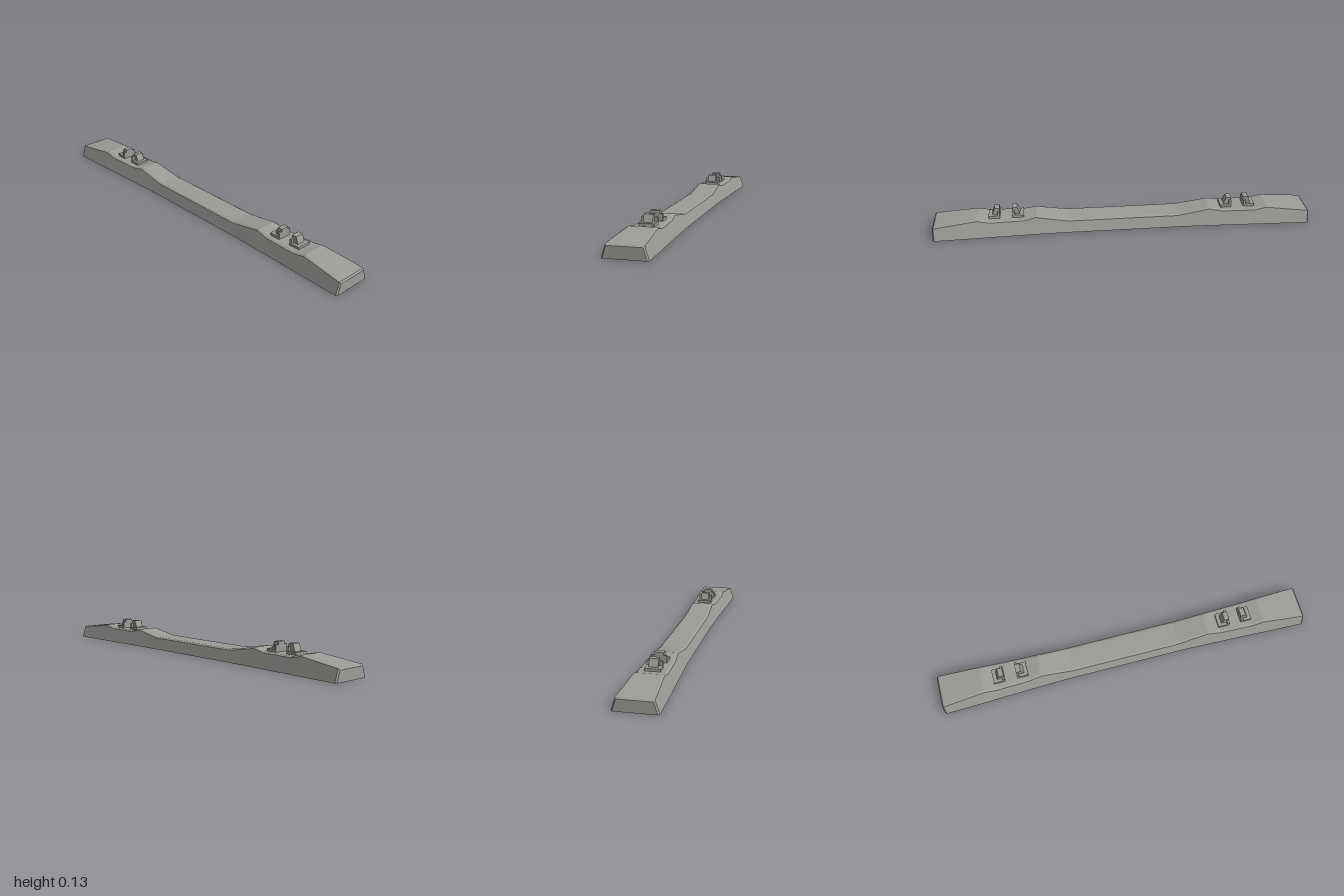
import * as THREE from 'three';

const material = new THREE.MeshStandardMaterial({ color: 0x9d9c98, flatShading: true, side: THREE.DoubleSide });

// Stations along one half: x, half width at the ground, top height, chamfer of the top edge
const half = [
  [0.29, 0.085, 0.065, 0.006], [0.36, 0.086, 0.076, 0.006], [0.46, 0.089, 0.093, 0.006],
  [0.53, 0.091, 0.08, 0.006], [0.705, 0.097, 0.08, 0.006], [0.77, 0.1, 0.093, 0.006],
  [0.993, 0.107, 0.064, 0.001], [1, 0.1, 0.057, 0.001],
];

// Open-bottomed cross-section: sloping sides with a narrow chamfer to the top
function section([x, b, h, c]) {
  const right = [[b, 0], [b - 0.32 * (h - c), h - c], [b - 0.32 * h - 1.35 * c, h]];
  const left = right.map(([z, y]) => [-z, y]).reverse();
  return [...right, ...left].map(([z, y]) => [x, y, z]);
}

function sleeperBody() {
  const stations = [...half.map(([x, ...rest]) => [-x, ...rest]).reverse(), ...half];
  const rings = stations.map(section);
  const n = rings[0].length;
  const index = [];
  for (let i = 0; i < rings.length - 1; i++) {
    for (let j = 0; j < n - 1; j++) {
      const a = i * n + j, b = a + n;
      index.push(a, b, a + 1, b, b + 1, a + 1);
    }
  }
  // End faces
  const last = (rings.length - 1) * n;
  for (let j = 1; j < n - 1; j++) {
    index.push(0, j, j + 1);
    index.push(last, last + j + 1, last + j);
  }
  const geometry = new THREE.BufferGeometry();
  geometry.setAttribute('position', new THREE.Float32BufferAttribute(rings.flat(2), 3));
  geometry.setIndex(index);
  const flat = geometry.toNonIndexed();
  flat.computeVertexNormals();
  const mesh = new THREE.Mesh(flat, material);
  mesh.name = 'sleeperBody';
  return mesh;
}

// Extrudes an x-y profile across z, centred on z = 0
function slab(name, points, width) {
  const shape = new THREE.Shape(points.map(([x, y]) => new THREE.Vector2(x, y)));
  const geometry = new THREE.ExtrudeGeometry(shape, { depth: width, bevelEnabled: false });
  geometry.translate(0, 0, -width / 2);
  const mesh = new THREE.Mesh(geometry, material);
  mesh.name = name;
  return mesh;
}

// Rail fastening; x = 0 is its rail-side face and +x points away from the rail
function railClip() {
  const clip = new THREE.Group();
  clip.name = 'railClip';
  clip.add(slab('basePlate', [[0, 0.076], [0.059, 0.076], [0.059, 0.094], [0, 0.094]], 0.076));
  clip.add(slab('railStop', [[0, 0.09], [0.012, 0.09], [0.012, 0.116], [0, 0.116]], 0.076));
  clip.add(slab('shoulder', [[0, 0.09], [0.041, 0.09], [0.035, 0.108], [0.026, 0.131], [0, 0.131]], 0.045));
  return clip;
}

export function createModel() {
  const model = new THREE.Group();
  model.name = 'railwaySleeper';
  model.add(sleeperBody());
  // A facing pair of clips on each rail seat
  for (const seat of [-0.617, 0.617]) {
    for (const side of [-1, 1]) {
      const clip = railClip();
      clip.position.x = seat + side * 0.033;
      if (side < 0) clip.rotation.y = Math.PI;
      model.add(clip);
    }
  }
  return model;
}
